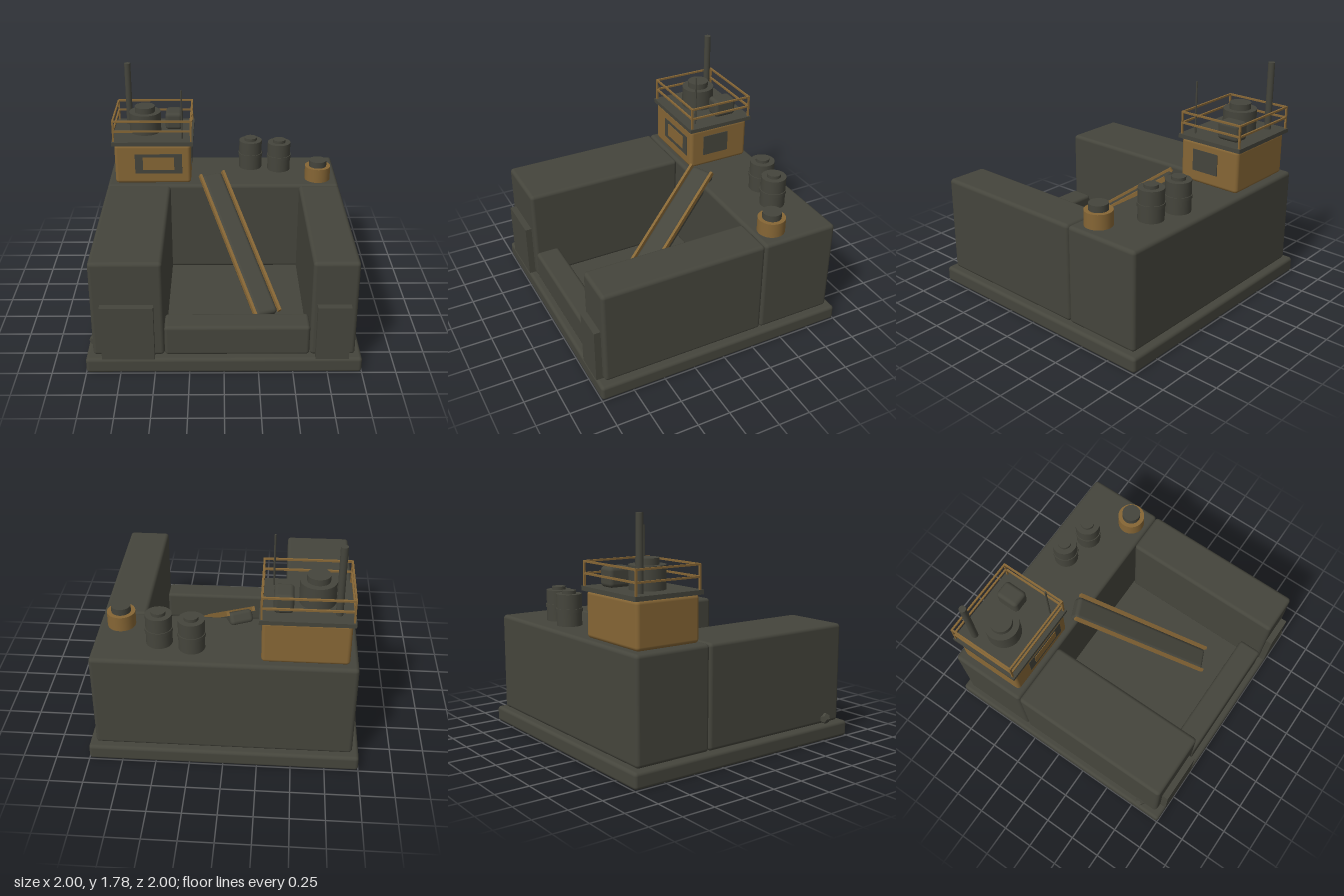
import * as THREE from 'three';
import { RoundedBoxGeometry } from 'three/addons/geometries/RoundedBoxGeometry.js';

const dark = new THREE.MeshStandardMaterial({ color: 0x45453c });
dark.name = 'dark olive metal';
const ochre = new THREE.MeshStandardMaterial({ color: 0x866635 });
ochre.name = 'ochre paint';

function add(parent, name, geometry, material, x = 0, y = 0, z = 0) {
  const mesh = new THREE.Mesh(geometry, material);
  mesh.name = name;
  mesh.position.set(x, y, z);
  parent.add(mesh);
  return mesh;
}

// box given by its limits on each axis; radius > 0 rounds the edges
function box(parent, name, material, [x0, x1], [y0, y1], [z0, z1], radius = 0) {
  const s = [x1 - x0, y1 - y0, z1 - z0];
  const g = radius ? new RoundedBoxGeometry(...s, 3, radius) : new THREE.BoxGeometry(...s);
  return add(parent, name, g, material, (x0 + x1) / 2, (y0 + y1) / 2, (z0 + z1) / 2);
}

// upright cylinder from y0 to y1
function drum(parent, name, material, x, z, r, y0, y1, sides = 28) {
  return add(parent, name, new THREE.CylinderGeometry(r, r, y1 - y0, sides), material, x, (y0 + y1) / 2, z);
}

function group(parent, name) {
  const g = new THREE.Group();
  g.name = name;
  parent.add(g);
  return g;
}

export function createModel() {
  const model = new THREE.Group();
  model.name = 'fortifiedPlant';

  // base and the U-shaped hull
  const hull = group(model, 'hull');
  box(hull, 'base', dark, [-1, 1], [0, 0.12], [-1, 1], 0.025);
  box(hull, 'rearBlock', dark, [-0.95, 0.95], [0.12, 0.885], [-0.95, -0.34], 0.028);
  box(hull, 'rightWing', dark, [-0.95, -0.43], [0.12, 0.885], [-0.34, 0.95], 0.028);
  box(hull, 'leftWing', dark, [0.62, 0.95], [0.12, 0.885], [-0.34, 0.95], 0.028);
  box(hull, 'frontSill', dark, [-0.43, 0.62], [0.12, 0.36], [0.76, 0.95], 0.025);
  box(hull, 'rightDoor', dark, [-0.88, -0.5], [0.12, 0.55], [0.94, 1]);
  box(hull, 'leftDoor', dark, [0.66, 0.9], [0.12, 0.55], [0.94, 1]);
  add(hull, 'sideKnob', new THREE.DodecahedronGeometry(0.045), dark, -0.95, 0.16, 0.8);

  // cabin with windows and roof slab
  const cabin = group(model, 'cabin');
  box(cabin, 'cabinBody', ochre, [-0.885, -0.265], [0.885, 1.222], [-0.9, -0.38], 0.028);
  box(cabin, 'frontWindow', dark, [-0.72, -0.335], [0.975, 1.145], [-0.382, -0.376]);
  box(cabin, 'frontWindowPanel', ochre, [-0.655, -0.4], [1.01, 1.12], [-0.378, -0.372]);
  box(cabin, 'sideWindow', dark, [-0.267, -0.26], [0.985, 1.155], [-0.72, -0.495]);
  box(cabin, 'roof', dark, [-0.905, -0.245], [1.22, 1.252], [-0.925, -0.365]);

  // roof equipment
  drum(cabin, 'turret', dark, -0.645, -0.645, 0.13, 1.25, 1.42);
  drum(cabin, 'turretCap', dark, -0.645, -0.645, 0.083, 1.42, 1.467);
  box(cabin, 'roofUnit', dark, [-0.48, -0.34], [1.25, 1.395], [-0.835, -0.65], 0.03);
  drum(cabin, 'chimney', dark, -0.79, -0.81, 0.026, 1.25, 1.78, 16);
  drum(cabin, 'antenna', dark, -0.335, -0.455, 0.007, 1.25, 1.66, 8);

  // roof railing
  const railing = group(cabin, 'railing');
  const t = 0.007, xs = [-0.888, -0.262], zs = [-0.908, -0.385];
  for (const x of xs) for (const z of zs)
    box(railing, 'railPost', ochre, [x - t, x + t], [1.25, 1.43], [z - t, z + t]);
  for (const y of [1.34, 1.424]) {
    for (const z of zs) box(railing, 'railBar', ochre, [xs[0], xs[1]], [y - t, y + t], [z - t, z + t]);
    for (const x of xs) box(railing, 'railBar', ochre, [x - t, x + t], [y - t, y + t], [zs[0], zs[1]]);
  }

  // pair of tanks
  for (const [x, z] of [[0.235, -0.745], [0.475, -0.695]]) {
    const tank = group(model, 'tank');
    drum(tank, 'tankBody', dark, x, z, 0.096, 0.88, 1.125);
    drum(tank, 'tankBand', dark, x, z, 0.102, 0.99, 1.017);
    drum(tank, 'tankCap', dark, x, z, 0.053, 1.125, 1.15);
  }

  // short vent
  drum(model, 'ventBody', ochre, 0.785, -0.485, 0.105, 0.88, 1);
  drum(model, 'ventCap', dark, 0.785, -0.485, 0.072, 1, 1.05);

  // sloping conveyor, local z running downhill
  const top = new THREE.Vector3(-0.095, 0.97, -0.39);
  const foot = new THREE.Vector3(0.335, 0.235, 0.58);
  const length = top.distanceTo(foot);
  const conveyor = group(model, 'conveyor');
  conveyor.position.copy(top).lerp(foot, 0.5);
  conveyor.lookAt(foot);
  add(conveyor, 'belt', new RoundedBoxGeometry(0.18, 0.1, length, 3, 0.03), dark, 0, -0.045, 0);
  for (const side of [-1, 1])
    add(conveyor, 'beltRail', new THREE.BoxGeometry(0.022, 0.035, length), ochre, side * 0.1, 0, 0);

  return model;
}
